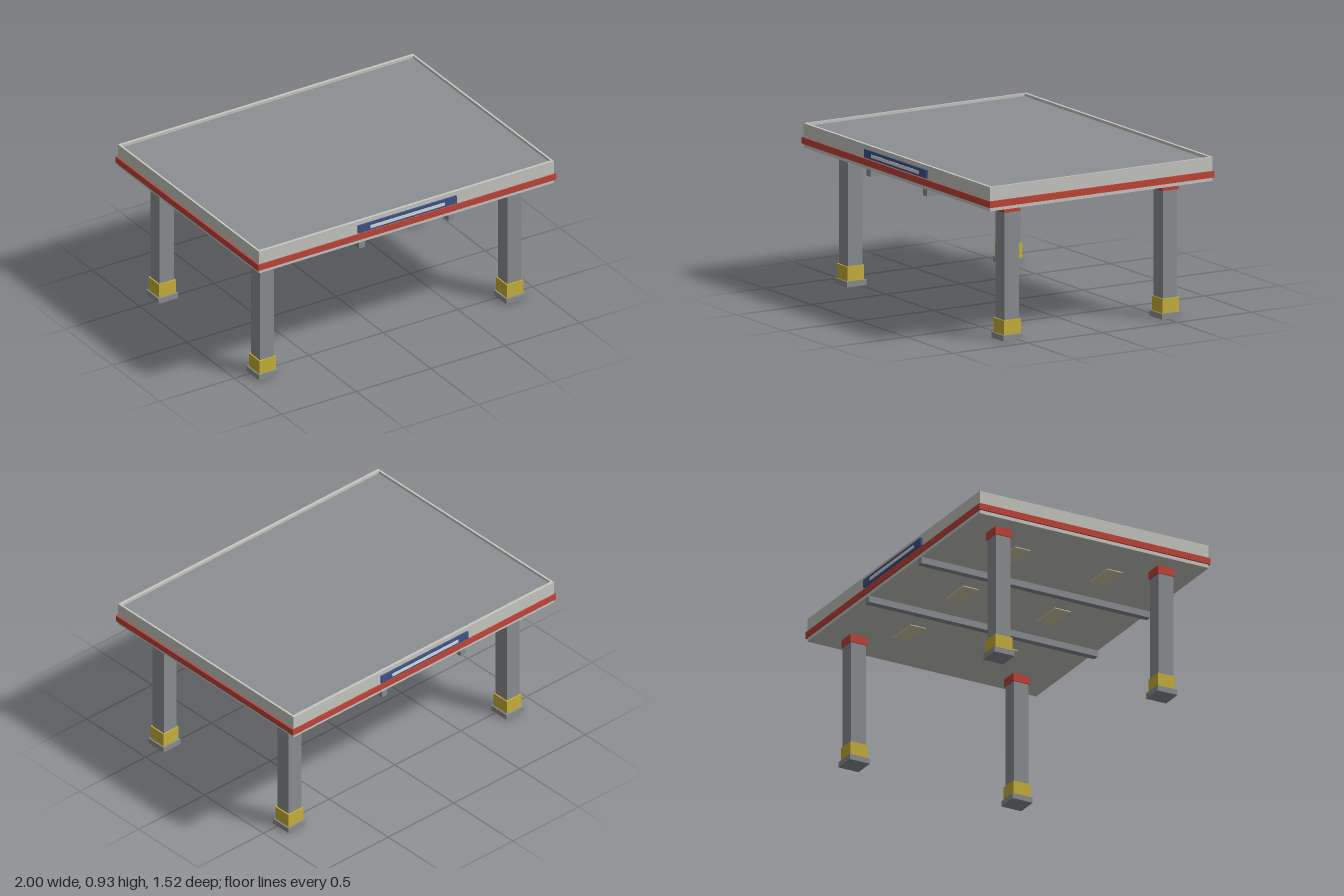
import * as THREE from 'three';

const paint = (name, color) => {
  const m = new THREE.MeshStandardMaterial({ color });
  m.name = name;
  return m;
};

export function createModel() {
  const concrete = paint('pale concrete', 0xc8c8c2);
  const grey = paint('steel grey', 0x8c9093);
  const red = paint('trim red', 0xc2453a);
  const yellow = paint('guard yellow', 0xc9b23c);
  const blue = paint('sign blue', 0x3e5488);
  const white = paint('sign white', 0xd9dcde);
  const cream = paint('lamp cream', 0xd8cfa8);

  const model = new THREE.Group();
  model.name = 'canopy';

  // Box given by its size, its lower and upper y, and its centre
  const box = (parent, name, mat, w, d, y0, y1, x = 0, z = 0) => {
    const mesh = new THREE.Mesh(new THREE.BoxGeometry(w, y1 - y0, d), mat);
    mesh.name = name;
    mesh.position.set(x, (y0 + y1) / 2, z);
    parent.add(mesh);
  };

  // Roof: slab, raised rim, sunken deck and trim band
  const roof = new THREE.Group();
  roof.name = 'roof';
  model.add(roof);
  box(roof, 'roofSlab', concrete, 1.98, 1.49, 0.79, 0.905);
  box(roof, 'roofDeck', grey, 1.955, 1.455, 0.905, 0.914);
  const rect = (Type, w, d) => new Type([
    new THREE.Vector2(-w, -d), new THREE.Vector2(w, -d),
    new THREE.Vector2(w, d), new THREE.Vector2(-w, d),
  ]);
  const rimShape = rect(THREE.Shape, 0.99, 0.745);
  rimShape.holes.push(rect(THREE.Path, 0.9775, 0.7275));
  const rim = new THREE.Mesh(
    new THREE.ExtrudeGeometry(rimShape, { depth: 0.025, bevelEnabled: false }).rotateX(-Math.PI / 2),
    concrete);
  rim.name = 'roofRim';
  rim.position.y = 0.905;
  roof.add(rim);
  box(roof, 'trimBand', red, 2, 1.505, 0.811, 0.849);

  // Sign boards on the front and back
  for (const s of [1, -1]) {
    box(roof, 'signBoard', blue, 0.66, 0.012, 0.857, 0.905, 0, s * 0.75);
    box(roof, 'signStripe', white, 0.5, 0.005, 0.869, 0.888, 0, s * 0.757);
  }

  // Beams and lamp panels under the roof
  for (const x of [-0.3, 0.3]) box(roof, 'beam', grey, 0.04, 1.49, 0.751, 0.79, x);
  for (const x of [-0.6, 0, 0.6])
    for (const z of [-0.3, 0.3]) box(roof, 'lampPanel', cream, 0.2, 0.1, 0.785, 0.791, x, z);

  // Four columns with foot plate, guard and collar
  for (const x of [-0.83, 0.83])
    for (const z of [-0.53, 0.53]) {
      const column = new THREE.Group();
      column.name = 'column';
      column.position.set(x, 0, z);
      model.add(column);
      box(column, 'footPlate', grey, 0.13, 0.13, 0, 0.033);
      box(column, 'guard', yellow, 0.112, 0.112, 0.033, 0.117);
      box(column, 'post', grey, 0.096, 0.096, 0.117, 0.742);
      box(column, 'collar', red, 0.108, 0.108, 0.742, 0.79);
    }

  return model;
}
